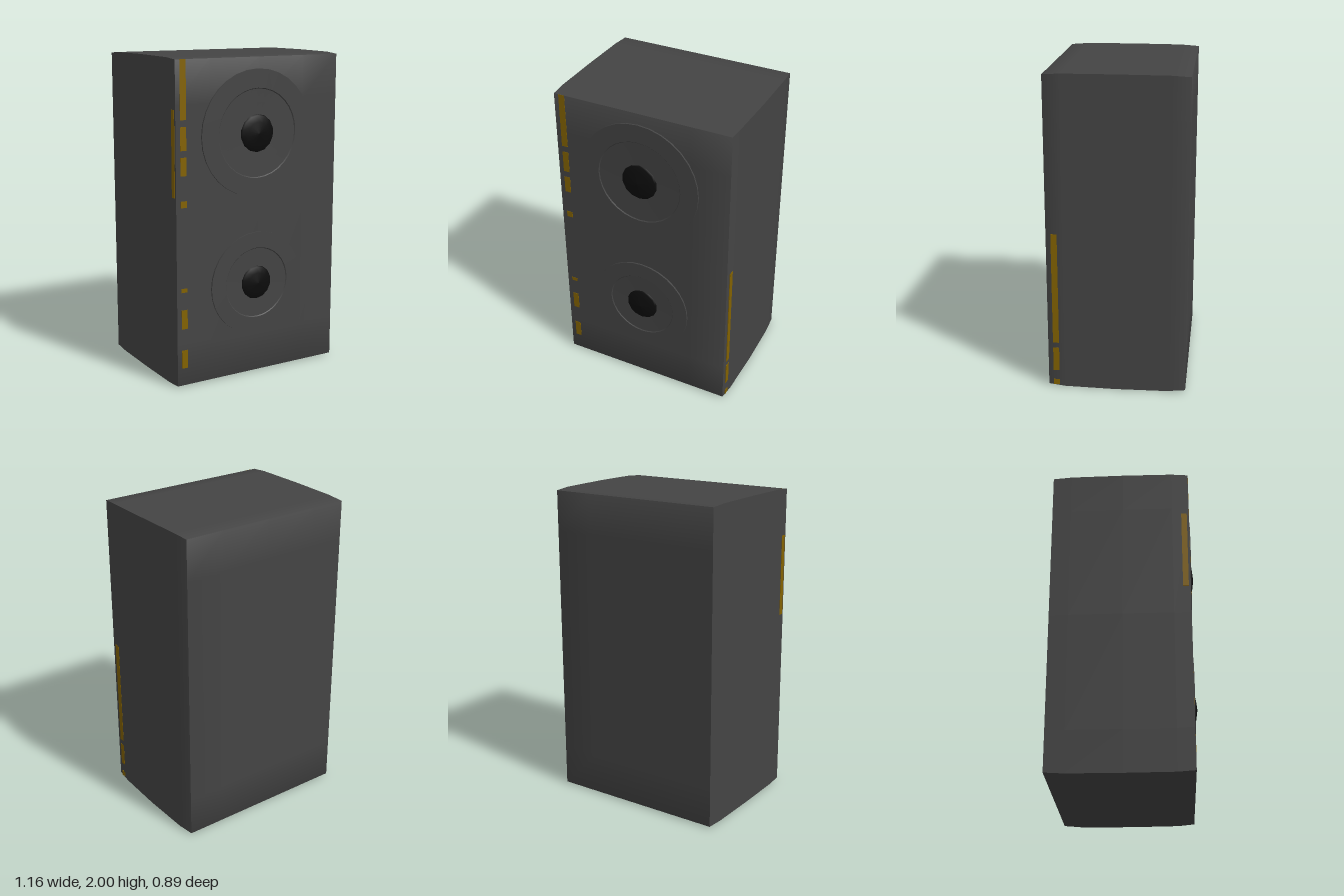
import * as THREE from 'three';
import { toCreasedNormals } from 'three/addons/utils/BufferGeometryUtils.js';

const cabinetGrey = new THREE.MeshStandardMaterial({ color: 0x444444 });
cabinetGrey.name = 'cabinetGrey';
const domeBlack = new THREE.MeshStandardMaterial({ color: 0x0c0c0c });
domeBlack.name = 'domeBlack';
const trimGold = new THREE.MeshStandardMaterial({ color: 0x836200 });
trimGold.name = 'trimGold';

function addMesh(parent, name, geometry, material, x = 0, y = 0, z = 0) {
  const mesh = new THREE.Mesh(geometry, material);
  mesh.name = name;
  mesh.position.set(x, y, z);
  parent.add(mesh);
  return mesh;
}

// Cabinet: a box with slightly bulging top, bottom and left side
function cabinetGeometry() {
  const geo = new THREE.BoxGeometry(4, 4, 4, 4, 4, 4);
  const pos = geo.attributes.position;
  const nor = geo.attributes.normal;
  const zs = [-0.448, -0.33, 0, 0.31, 0.415];
  const right = [-0.58, -0.582, -0.583, -0.582, -0.58];
  const left = [0.567, 0.576, 0.581, 0.576, 0.567];
  const inset = [0.01, 0.002, 0, 0.002, 0.01];
  const ySteps = [0, 0.13, 0.5, 0.87, 1];
  const xSteps = [0, 0.2, 0.5, 0.78, 1];
  const n = new THREE.Vector3();
  for (let i = 0; i < pos.count; i++) {
    const gx = Math.round(pos.getX(i)), gy = Math.round(pos.getY(i)), gz = Math.round(pos.getZ(i));
    const k = gz + 2;
    // soft shading over the front and back edges, crisp elsewhere
    n.fromBufferAttribute(nor, i);
    if (Math.abs(n.z) > 0.5) {
      if (Math.abs(gy) === 2) n.y += 0.35 * Math.sign(gy);
      if (gx === 2) n.x += 0.35;
    } else if (Math.abs(gz) === 2 && (Math.abs(n.y) > 0.5 || n.x > 0.5)) {
      n.z += 0.35 * Math.sign(gz);
    }
    n.normalize();
    nor.setXYZ(i, n.x, n.y, n.z);
    pos.setXYZ(i,
      THREE.MathUtils.lerp(right[k], left[k], xSteps[gx + 2]),
      THREE.MathUtils.lerp(inset[k], 2 - inset[k], ySteps[gy + 2]),
      zs[k]);
  }
  return geo;
}

// Driver: flat rim, shallow cone and a black dust cap
function addDriver(parent, name, y, outer, inner, cap) {
  const driver = new THREE.Group();
  driver.name = name;
  driver.position.set(-0.02, y, 0.414);
  parent.add(driver);
  const lathe = (points, sides) => new THREE.LatheGeometry(
    points.map(([r, h]) => new THREE.Vector2(r, h)), sides).rotateX(Math.PI / 2);
  const rim = [[outer, 0], [outer, 0.011], [inner, 0.011], [inner - 0.005, 0.006]];
  addMesh(driver, 'rim', toCreasedNormals(lathe(rim, 32), 0.5), cabinetGrey);
  const cone = [[inner - 0.005, 0.006], [inner * 0.7, 0.004], [cap * 0.8, 0.002]];
  addMesh(driver, 'cone', lathe(cone, 32), cabinetGrey);
  const dome = [[cap, 0.002], [cap * 0.93, 0.012], [cap * 0.6, 0.022], [0, 0.031]];
  addMesh(driver, 'dustCap', lathe(dome, 14), domeBlack);
}

export function createModel() {
  const model = new THREE.Group();
  model.name = 'loudspeaker';
  addMesh(model, 'cabinet', cabinetGeometry(), cabinetGrey);
  addDriver(model, 'upperDriver', 1.53, 0.39, 0.275, 0.117);
  addDriver(model, 'lowerDriver', 0.59, 0.325, 0.225, 0.107);

  // Broken gold trim along the front edges, as [bottom, top]
  const frontTrim = [[1.64, 1.99], [1.46, 1.6], [1.31, 1.42], [1.12, 1.16],
    [0.6, 0.625], [0.37, 0.49], [0.12, 0.235]];
  for (const [a, b] of frontTrim) {
    addMesh(model, 'frontTrim', new THREE.BoxGeometry(0.04, b - a, 0.004), trimGold, -0.53, (a + b) / 2, 0.415);
  }
  const leftTrim = [[0.3, 1.02], [0.11, 0.265], [0.01, 0.045]];
  for (const [a, b] of leftTrim) {
    addMesh(model, 'leftTrim', new THREE.BoxGeometry(0.006, b - a, 0.038), trimGold, 0.571, (a + b) / 2, 0.365);
  }
  addMesh(model, 'rightTrim', new THREE.BoxGeometry(0.004, 0.52, 0.035), trimGold, -0.581, 1.44, 0.385);
  return model;
}
